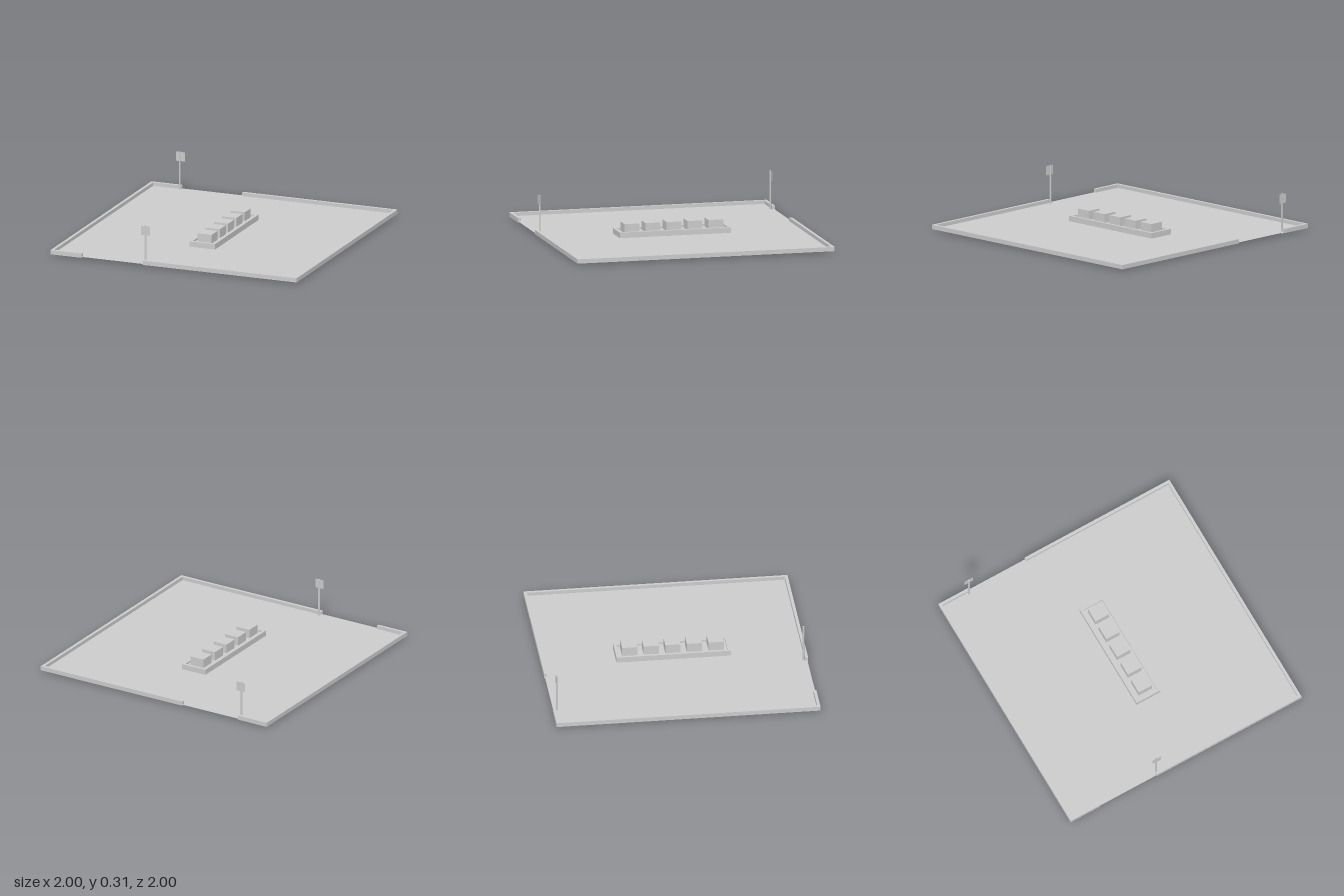
import * as THREE from 'three';

const grey = new THREE.MeshStandardMaterial({ color: 0xcccccc, flatShading: true });
const greyThin = new THREE.MeshStandardMaterial({ color: 0xcccccc, flatShading: true, side: THREE.DoubleSide });

// Box given by its min and max corners
function box(parent, name, [x0, y0, z0], [x1, y1, z1]) {
  const mesh = new THREE.Mesh(new THREE.BoxGeometry(x1 - x0, y1 - y0, z1 - z0), grey);
  mesh.position.set((x0 + x1) / 2, (y0 + y1) / 2, (z0 + z1) / 2);
  mesh.name = name;
  parent.add(mesh);
  return mesh;
}

// Thin sign on a round post; dir = +1 faces the front, -1 the back
function signPost(name, x, dir) {
  const group = new THREE.Group();
  group.name = name;
  const post = new THREE.Mesh(new THREE.CylinderGeometry(0.007, 0.007, 0.31, 8), grey);
  post.name = 'post';
  post.position.y = 0.155;
  const panel = new THREE.Mesh(new THREE.PlaneGeometry(0.072, 0.072), greyThin);
  panel.name = 'signPanel';
  panel.position.set(0.002, 0.271, dir * 0.0075);
  if (dir < 0) panel.rotation.y = Math.PI;
  group.add(post, panel);
  group.position.set(x, 0, dir * 0.965);
  return group;
}

export function createModel() {
  const model = new THREE.Group();
  model.name = 'parkingLot';

  // Ground sheet
  const ground = new THREE.Mesh(new THREE.PlaneGeometry(2, 1.99), greyThin);
  ground.name = 'ground';
  ground.rotation.x = -Math.PI / 2;
  ground.position.y = 0.016;
  model.add(ground);

  // Kerb around the edge, with an opening at the front and at the back
  const kerb = new THREE.Group();
  kerb.name = 'kerb';
  const low = 0.01, high = 0.043, w = 0.023;
  for (const s of [-1, 1]) {
    const a = s < 0 ? -1 : 1 - w;
    box(kerb, s < 0 ? 'kerbRight' : 'kerbLeft', [a, low, -1], [a + w, high, 1]);
    const end = s < 0 ? 'Back' : 'Front';
    box(kerb, `kerb${end}Short`, [-1 + w, low, a], [-0.746, high, a + w]);
    box(kerb, `kerb${end}Long`, [-0.253, low, a], [1 - w, high, a + w]);
  }
  model.add(kerb);

  // Central island: raised rim around a sunken bed
  const island = new THREE.Group();
  island.name = 'island';
  const rect = (shape, hx, hz) => shape.moveTo(-hx, -hz).lineTo(hx, -hz).lineTo(hx, hz).lineTo(-hx, hz).closePath();
  const outline = rect(new THREE.Shape(), 0.104, 0.433);
  outline.holes.push(rect(new THREE.Path(), 0.083, 0.411));
  const rimGeometry = new THREE.ExtrudeGeometry(outline, { depth: 0.048, bevelEnabled: false });
  rimGeometry.rotateX(-Math.PI / 2).translate(0, 0.01, 0);
  const rim = new THREE.Mesh(rimGeometry, grey);
  rim.name = 'islandRim';
  island.add(rim);
  box(island, 'islandBed', [-0.083, 0.01, -0.411], [0.083, 0.044, 0.411]);

  // Row of five blocks standing in the bed
  for (let i = -2; i <= 2; i++) {
    const z = i * 0.1635;
    box(island, 'block', [-0.058, 0.04, z - 0.058], [0.058, 0.113, z + 0.058]);
  }
  model.add(island);

  // Signs beside the two openings
  model.add(signPost('frontSign', -0.241, 1), signPost('backSign', -0.755, -1));
  return model;
}
